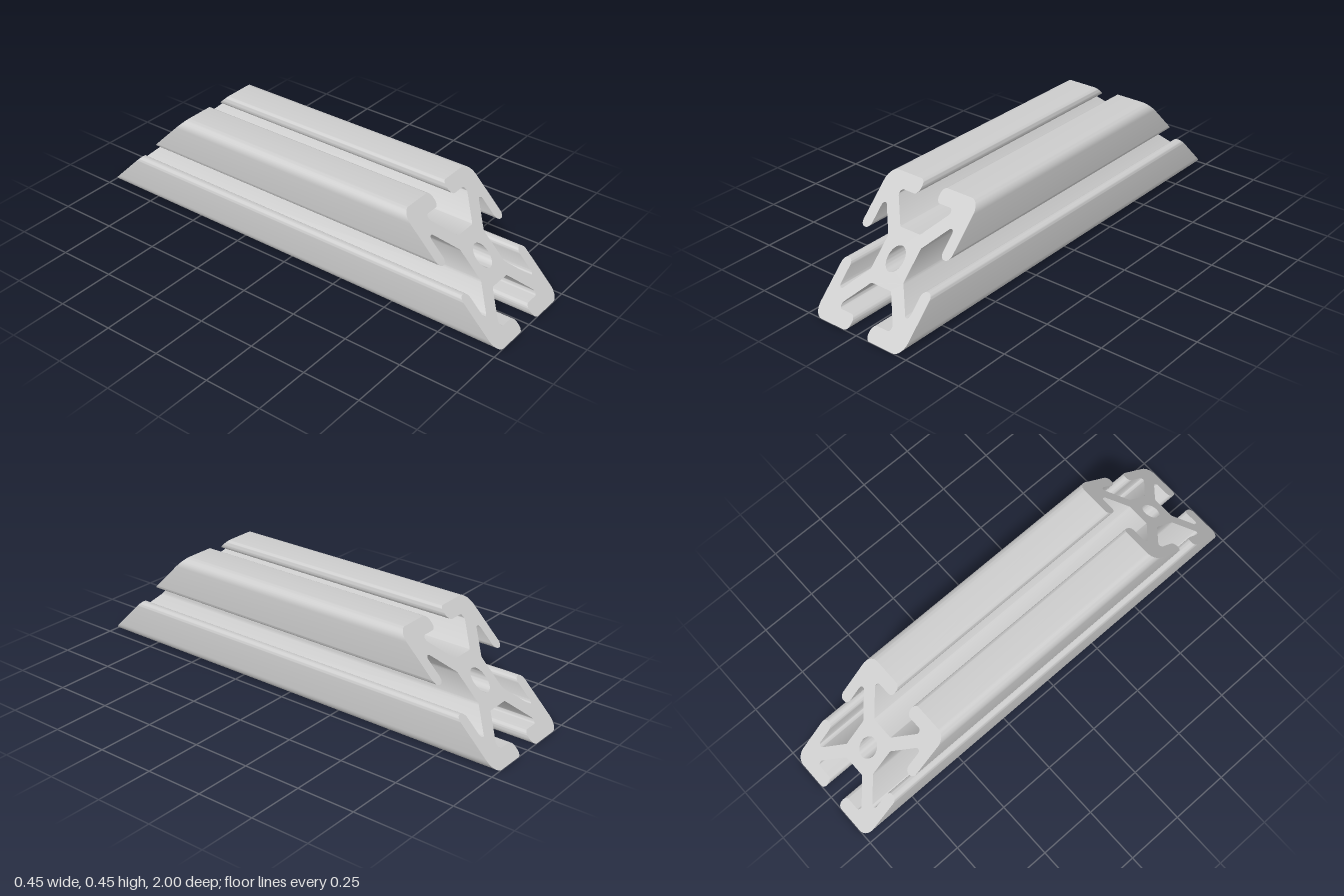
import * as THREE from 'three';
import { toCreasedNormals } from 'three/addons/utils/BufferGeometryUtils.js';

const HALF = 0.225;        // half the width of the square section
const BORE = 0.0385;       // radius of the centre hole

// One quarter of the section around its centre: x, y, corner radius
const QUARTER = [
  [0.083, 0.05, 0.012],    // core
  [0.179, 0.146, 0.012],   // end of the slot pocket
  [0.179, 0.046, 0.02],    // lip
  [HALF, 0.046, 0.02],
  [HALF, HALF, 0.042],     // outer corner
  [0.046, HALF, 0.02],     // lip
  [0.046, 0.179, 0.02],
  [0.146, 0.179, 0.012],   // end of the slot pocket
  [0.05, 0.083, 0.012],    // core
];

// Replaces every corner of a closed outline with an arc
function roundCorners(corners) {
  const points = [];
  const n = corners.length;
  corners.forEach(({ p, r }, i) => {
    const d1 = corners[(i + n - 1) % n].p.clone().sub(p).normalize();
    const d2 = corners[(i + 1) % n].p.clone().sub(p).normalize();
    const half = Math.acos(d1.dot(d2)) / 2;
    const centre = d1.clone().add(d2).normalize().multiplyScalar(r / Math.sin(half)).add(p);
    const start = d1.multiplyScalar(r / Math.tan(half)).add(p).sub(centre);
    const end = d2.multiplyScalar(r / Math.tan(half)).add(p).sub(centre);
    const sweep = Math.atan2(start.cross(end), start.dot(end));
    const steps = Math.max(3, Math.ceil(Math.abs(sweep) / 0.18));
    for (let k = 0; k <= steps; k++) {
      const a = start.angle() + (sweep * k) / steps;
      points.push(new THREE.Vector2(centre.x + r * Math.cos(a), centre.y + r * Math.sin(a)));
    }
  });
  return points;
}

export function createModel() {
  const group = new THREE.Group();
  group.name = 'mitredSlottedBar';

  // Full section: the quarter turned four times, with the bore as a hole
  const corners = [];
  const origin = new THREE.Vector2();
  for (let q = 0; q < 4; q++) {
    for (const [x, y, r] of QUARTER) {
      corners.push({ p: new THREE.Vector2(x, y).rotateAround(origin, (q * Math.PI) / 2), r });
    }
  }
  const section = new THREE.Shape(roundCorners(corners));
  section.holes.push(new THREE.Path().absarc(0, 0, BORE, 0, Math.PI * 2, true));

  const geometry = new THREE.ExtrudeGeometry(section, { depth: 1, bevelEnabled: false, curveSegments: 20 });
  geometry.translate(0, HALF, -0.5);

  // 45 degree mitre on both ends: the bar shortens with height
  const pos = geometry.attributes.position;
  for (let i = 0; i < pos.count; i++) {
    pos.setZ(i, Math.sign(pos.getZ(i)) * (1 - pos.getY(i)));
  }

  const bar = new THREE.Mesh(
    toCreasedNormals(geometry, Math.PI / 6),
    new THREE.MeshStandardMaterial({ color: 0xcccccc })
  );
  bar.name = 'slottedBar';
  group.add(bar);
  return group;
}
